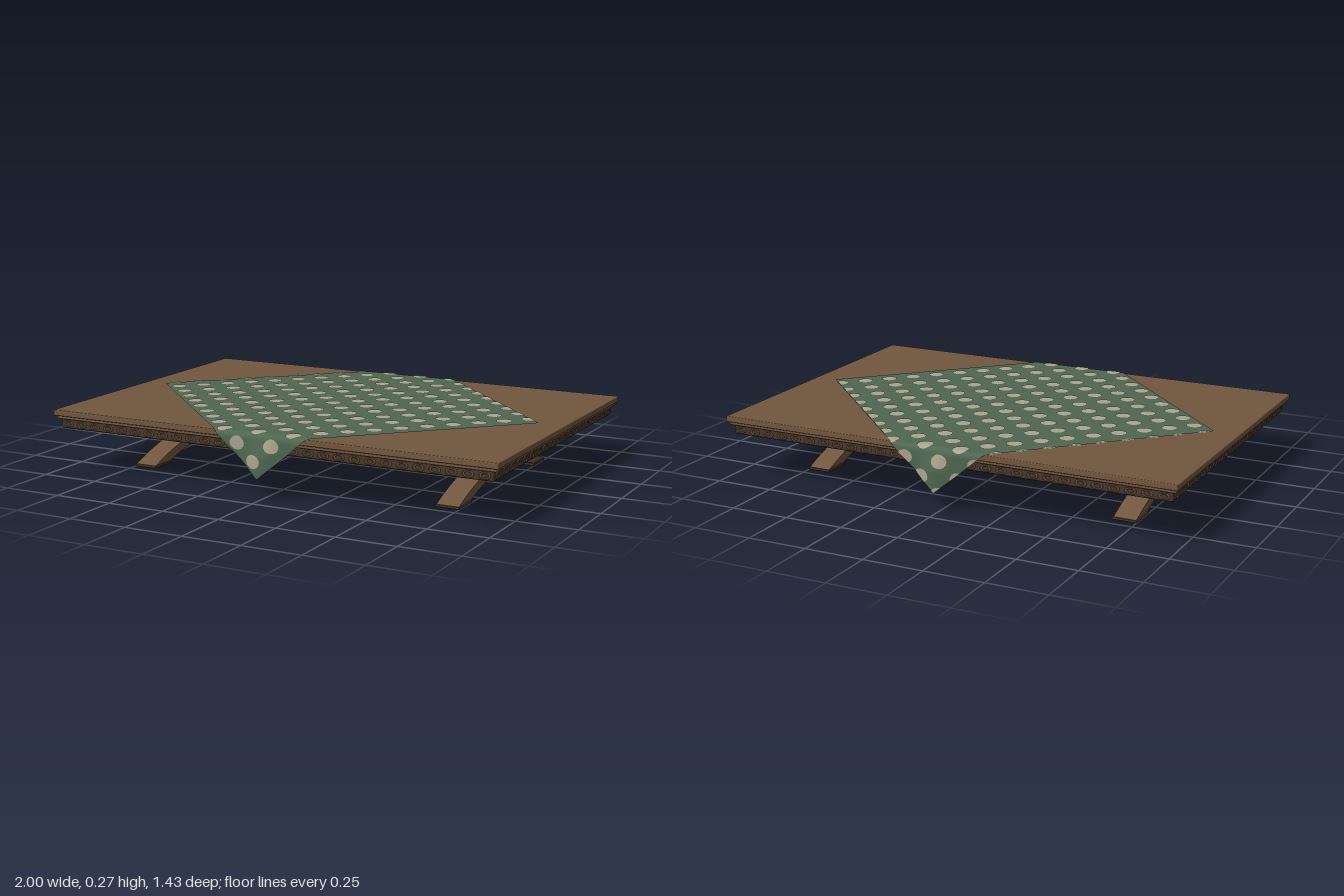
import * as THREE from 'three';
import { mergeGeometries } from 'three/addons/utils/BufferGeometryUtils.js';
import { RoundedBoxGeometry } from 'three/addons/geometries/RoundedBoxGeometry.js';

const material = (name, color, extra = {}) => {
  const m = new THREE.MeshStandardMaterial({ color, ...extra });
  m.name = name;
  return m;
};
const wood = material('warm wood', 0x72573f);
const darkWood = material('dark wood', 0x48382b);
const green = material('green cloth', 0x4f6751, { side: THREE.DoubleSide });
const cream = material('cream dots', 0xaba68f, { side: THREE.DoubleSide });

const REACH = 0.895; // corner distance of the diamond cloth
const BEND = 0.675, RADIUS = 0.022, CLOTH_Y = 0.268;

// Lays a flat cloth point over the table edge; h lifts it off the surface.
function drape(x, z, h = 0) {
  const side = Math.sign(z) || 1;
  const s = Math.abs(z) - BEND;
  if (s <= 0) return [x, CLOTH_Y + h, z];
  const arc = RADIUS * Math.PI / 2;
  const r = RADIUS + h;
  if (s < arc) {
    const a = s / RADIUS;
    return [x, CLOTH_Y - RADIUS + r * Math.cos(a), side * (BEND + r * Math.sin(a))];
  }
  const t = s - arc;
  const fold = 0.014 * Math.exp(-(((x - 0.015) / 0.06) ** 2)) + 0.004 * Math.cos(x * 32);
  return [x, CLOTH_Y - RADIUS - t * 0.85, side * (BEND + r + fold * Math.min(1, t / 0.08))];
}

function clothGeometry() {
  const g = new THREE.PlaneGeometry(2, 2 * REACH, 24, 170);
  const p = g.attributes.position;
  for (let i = 0; i < p.count; i++) {
    const z = -p.getY(i);
    p.setXYZ(i, ...drape(p.getX(i) * Math.max(0, REACH - Math.abs(z)), z));
  }
  g.computeVertexNormals();
  return g;
}

// Keeps the part of a flat polygon inside the diamond.
function clipToDiamond(poly) {
  for (const [sx, sz] of [[1, 1], [1, -1], [-1, 1], [-1, -1]]) {
    const gap = ([x, z]) => REACH - sx * x - sz * z;
    const out = [];
    poly.forEach((a, i) => {
      const b = poly[(i + 1) % poly.length];
      const ga = gap(a), gb = gap(b);
      if (ga >= 0) out.push(a);
      if (ga * gb < 0) {
        const t = ga / (ga - gb);
        out.push([a[0] + (b[0] - a[0]) * t, a[1] + (b[1] - a[1]) * t]);
      }
    });
    poly = out;
  }
  return poly;
}

// Staggered dots on both faces of the cloth
function dotsGeometry() {
  const pos = [], index = [], RINGS = 3, STEP = 0.0778;
  for (let i = -14; i <= 14; i++) for (let j = -14; j <= 14; j++) {
    if ((i + j) % 2) continue;
    const cx = -0.019 + STEP * i, cz = 0.035 + STEP * j;
    const circle = Array.from({ length: 16 }, (_, k) => {
      const a = k / 16 * Math.PI * 2;
      return [cx + 0.033 * Math.cos(a), cz + 0.033 * Math.sin(a)];
    });
    const poly = clipToDiamond(circle), n = poly.length;
    if (n < 3) continue;
    const mx = poly.reduce((s, q) => s + q[0], 0) / n;
    const mz = poly.reduce((s, q) => s + q[1], 0) / n;
    for (const h of [0.0025, -0.002]) {
      const base = pos.length / 3;
      for (let r = 0; r <= RINGS; r++) for (const [x, z] of poly) {
        const f = r / RINGS;
        pos.push(...drape(mx + (x - mx) * f, mz + (z - mz) * f, h));
      }
      for (let r = 0; r < RINGS; r++) for (let k = 0; k < n; k++) {
        const a = base + r * n + k, b = base + r * n + (k + 1) % n;
        index.push(a, b + n, a + n);
        if (r) index.push(a, b, b + n);
      }
    }
  }
  const g = new THREE.BufferGeometry();
  g.setAttribute('position', new THREE.Float32BufferAttribute(pos, 3));
  g.setIndex(index);
  g.computeVertexNormals();
  return g;
}

// Curved X profile of a trestle, drawn in z and y
function trestleGeometry() {
  const s = new THREE.Shape();
  s.moveTo(0, 0.14);
  s.quadraticCurveTo(0.17, 0.14, 0.27, 0.17);
  s.lineTo(0.45, 0.17);
  s.quadraticCurveTo(0.32, 0.113, 0.145, 0.093);
  s.quadraticCurveTo(0.3, 0.072, 0.45, 0.01);
  s.lineTo(0.335, 0.01);
  s.quadraticCurveTo(0.2, 0.06, 0, 0.06);
  s.quadraticCurveTo(-0.2, 0.06, -0.335, 0.01);
  s.lineTo(-0.45, 0.01);
  s.quadraticCurveTo(-0.3, 0.072, -0.145, 0.093);
  s.quadraticCurveTo(-0.32, 0.113, -0.45, 0.17);
  s.lineTo(-0.27, 0.17);
  s.quadraticCurveTo(-0.17, 0.14, 0, 0.14);
  const g = new THREE.ExtrudeGeometry(s, { depth: 0.096, bevelEnabled: false, curveSegments: 12 });
  g.translate(0, 0, -0.048);
  g.rotateY(-Math.PI / 2);
  return g;
}

// Oval carved links along the four sides of the apron
function carvingGeometry() {
  const links = [];
  const row = (count, span, place) => {
    for (let i = 0; i < count; i++) {
      const g = new THREE.TorusGeometry(0.012, 0.0035, 4, 12);
      g.scale(1.6, 0.95, 1);
      place(g, -span + 2 * span * i / (count - 1));
      links.push(g);
    }
  };
  for (const s of [-1, 1]) {
    row(29, 0.94, (g, t) => g.translate(t, 0.205, s * 0.662));
    row(19, 0.62, (g, t) => g.rotateY(Math.PI / 2).translate(s * 0.975, 0.205, t));
  }
  return mergeGeometries(links);
}

export function createModel() {
  const model = new THREE.Group();
  model.name = 'table';
  const add = (name, geometry, mat, parent = model) => {
    const mesh = new THREE.Mesh(geometry, mat);
    mesh.name = name;
    parent.add(mesh);
    return mesh;
  };
  const box = (name, mat, w, y0, y1, d, round = 0, parent = model) => {
    const g = round ? new RoundedBoxGeometry(w, y1 - y0, d, 2, round)
      : new THREE.BoxGeometry(w, y1 - y0, d);
    const mesh = add(name, g, mat, parent);
    mesh.position.y = (y0 + y1) / 2;
    return mesh;
  };

  // Top with stepped moulding and carved apron
  box('tableTop', wood, 2, 0.239, 0.264, 1.366, 0.004);
  box('moulding', wood, 1.98, 0.225, 0.24, 1.346, 0.004);
  box('apron', darkWood, 1.95, 0.185, 0.226, 1.324, 0.008);
  box('undersidePanel', wood, 1.92, 0.182, 0.19, 1.29);
  add('apronCarving', carvingGeometry(), wood);

  // Two trestles
  const profile = trestleGeometry();
  for (const s of [-1, 1]) {
    const trestle = new THREE.Group();
    trestle.name = s > 0 ? 'leftTrestle' : 'rightTrestle';
    trestle.position.x = s * 0.7;
    model.add(trestle);
    add('crossLeg', profile, wood, trestle);
    box('topPlate', wood, 0.133, 0.168, 0.184, 0.966, 0.003, trestle);
    for (const f of [-1, 1]) {
      box('footPad', darkWood, 0.104, 0, 0.011, 0.124, 0.003, trestle).position.z = f * 0.394;
    }
    box('beamEnd', wood, 0.03, 0.069, 0.118, 0.06, 0.008, trestle).position.x = s * 0.052;
  }

  // Stretcher beam between the trestles
  box('stretcherBeam', darkWood, 1.4, 0.072, 0.115, 0.055, 0.01);

  // Dotted cloth laid cornerwise
  add('cloth', clothGeometry(), green);
  add('clothDots', dotsGeometry(), cream);
  return model;
}
